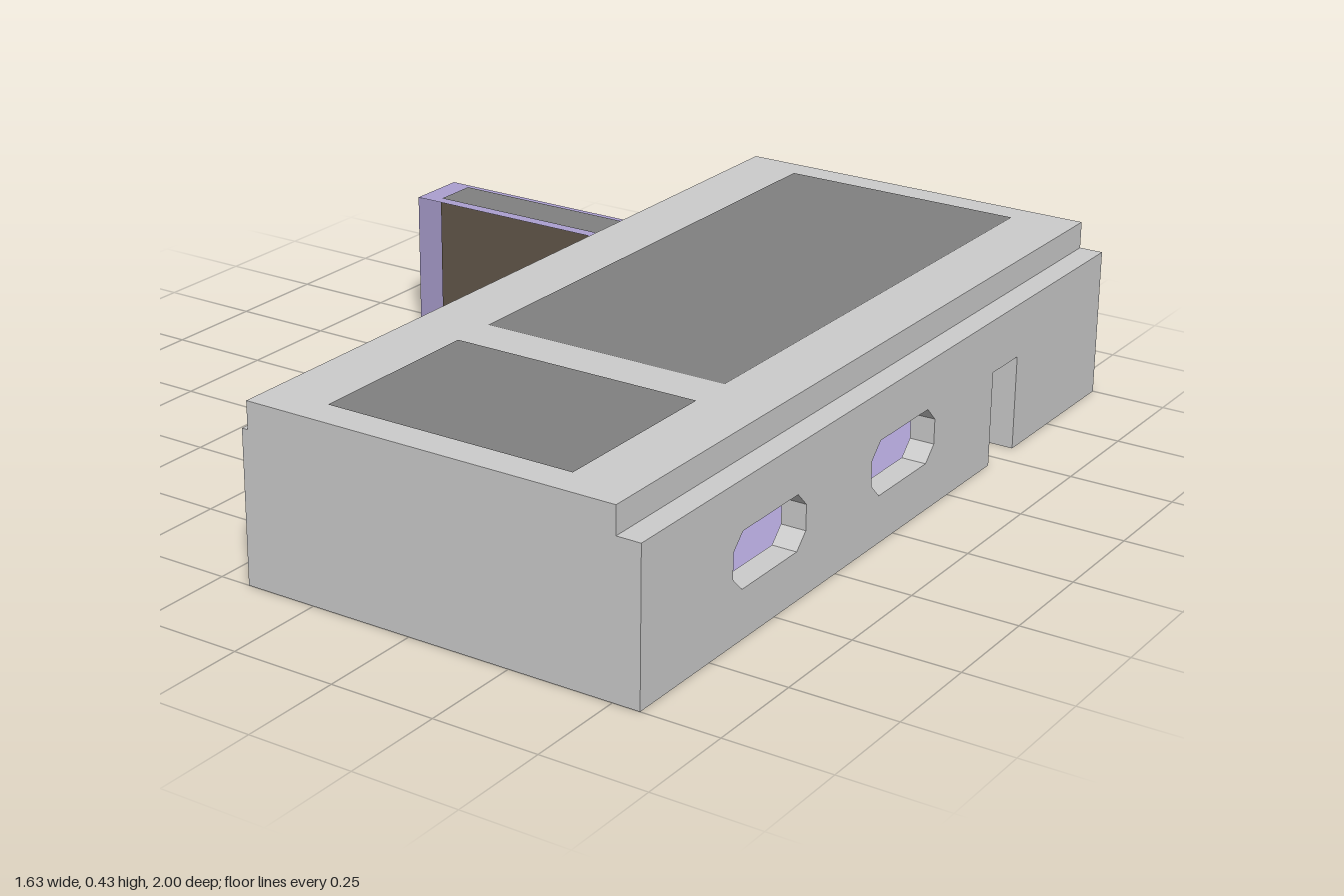
import * as THREE from 'three';

const mat = (color, side = THREE.FrontSide) => new THREE.MeshStandardMaterial({ color, side });
const grey = mat(0xcccccc);
const brown = mat(0x62564a, THREE.DoubleSide);
const lavender = mat(0xab9fd0, THREE.DoubleSide);
const lavenderSingle = mat(0xab9fd0);
const panel = mat(0x808080, THREE.DoubleSide);

export function createModel() {
  const model = new THREE.Group();

  const add = (parent, name, geometry, material) => {
    const mesh = new THREE.Mesh(geometry, material);
    mesh.name = name;
    parent.add(mesh);
    return mesh;
  };
  // Box given by its lower and upper limits
  const box = (parent, name, material, x0, x1, y0, y1, z0, z1) => {
    const m = add(parent, name, new THREE.BoxGeometry(x1 - x0, y1 - y0, z1 - z0), material);
    m.position.set((x0 + x1) / 2, (y0 + y1) / 2, (z0 + z1) / 2);
    return m;
  };
  // Level sheet facing up
  const sheet = (parent, name, material, x0, x1, z0, z1, y) => {
    const g = new THREE.PlaneGeometry(x1 - x0, z1 - z0).rotateX(-Math.PI / 2);
    const m = add(parent, name, g, material);
    m.position.set((x0 + x1) / 2, y, (z0 + z1) / 2);
    return m;
  };
  const poly = (points) => points.map(([a, b]) => new THREE.Vector2(a, b));
  // Wall outline along the ground, notched by doorways given as [start, end, height]
  const wallShape = (a, b, top, doors) => {
    const pts = [[a, 0]];
    for (const [s, e, h] of doors) pts.push([s, 0], [s, h], [e, h], [e, 0]);
    pts.push([b, 0], [b, top], [a, top]);
    return new THREE.Shape(poly(pts));
  };
  const extrude = (shape, depth) =>
    new THREE.ExtrudeGeometry(shape, { depth, bevelEnabled: false });
  // Turns an outline drawn as (-z, y) so that it stands along z and thickens to +x
  const alongZ = (geometry) => geometry.rotateY(Math.PI / 2);

  // Main hall
  const hall = new THREE.Group();
  hall.name = 'mainHall';
  model.add(hall);

  // Side wall with a doorway and two chamfered windows
  const side = wallShape(-1, 1, 0.36, [[0.45, 0.57, 0.23]]);
  const c = 0.035;
  for (const [z0, z1] of [[0.38, 0.665], [-0.175, 0.105]]) {
    const [a, b, y0, y1] = [-z1, -z0, 0.115, 0.245];
    side.holes.push(new THREE.Path(poly([
      [a + c, y0], [b - c, y0], [b, y0 + c], [b, y1 - c],
      [b - c, y1], [a + c, y1], [a, y1 - c], [a, y0 + c],
    ])));
  }
  add(hall, 'windowWall', alongZ(extrude(side, 0.06)), grey).position.x = 0.755;

  // End walls
  for (const s of [1, -1]) {
    const z = [s * 0.93, s].sort((a, b) => a - b);
    box(hall, s > 0 ? 'frontWall' : 'backWall', grey, -0.175, 0.755, 0, 0.36, ...z);
  }

  // Inner wall closing the open side, with three doorways
  const inner = wallShape(-0.93, 0.93, 0.36, [
    [-0.885, -0.69, 0.23], [-0.125, -0.01, 0.23], [0.45, 0.57, 0.23],
  ]);
  add(hall, 'innerWall', alongZ(extrude(inner, 0.03)), brown).position.x = -0.165;

  // Floor and roof
  sheet(hall, 'hallFloor', lavender, -0.175, 0.755, -0.93, 0.93, 0.003);
  box(hall, 'hallRoof', grey, -0.16, 0.757, 0.355, 0.425, -1, 1);
  for (const [z0, z1] of [[-0.93, 0.37], [0.48, 0.925]])
    sheet(hall, 'roofPanel', panel, -0.005, 0.605, z0, z1, 0.427);

  // Side passage
  const passage = new THREE.Group();
  passage.name = 'sidePassage';
  model.add(passage);

  // Long walls, each with a doorway and a low step at the hall end
  const pts = [
    [-0.76, 0], [-0.475, 0], [-0.475, 0.23], [-0.36, 0.23], [-0.36, 0],
    [-0.17, 0], [-0.17, 0.23], [-0.187, 0.23], [-0.187, 0.34], [-0.76, 0.34],
  ];
  for (const z of [-0.575, -0.465])
    add(passage, 'passageWall', extrude(new THREE.Shape(poly(pts)), 0.01), brown).position.z = z;
  box(passage, 'passageInnerEnd', brown, -0.76, -0.75, 0, 0.34, -0.57, -0.46);

  // Floor, roof and outer end
  sheet(passage, 'passageFloor', lavender, -0.82, -0.17, -0.59, -0.44, 0.002);
  sheet(passage, 'passageRoof', lavender, -0.82, -0.18, -0.59, -0.44, 0.343);
  sheet(passage, 'passageRoofPanel', panel, -0.76, -0.18, -0.57, -0.46, 0.346);
  const end = add(passage, 'passageEnd', new THREE.PlaneGeometry(0.15, 0.343).rotateY(-Math.PI / 2), lavender);
  end.position.set(-0.82, 0.1715, -0.515);
  const ret = add(passage, 'passageEndReturn', new THREE.PlaneGeometry(0.06, 0.343).rotateY(Math.PI), lavenderSingle);
  ret.position.set(-0.79, 0.1715, -0.59);

  return model;
}
